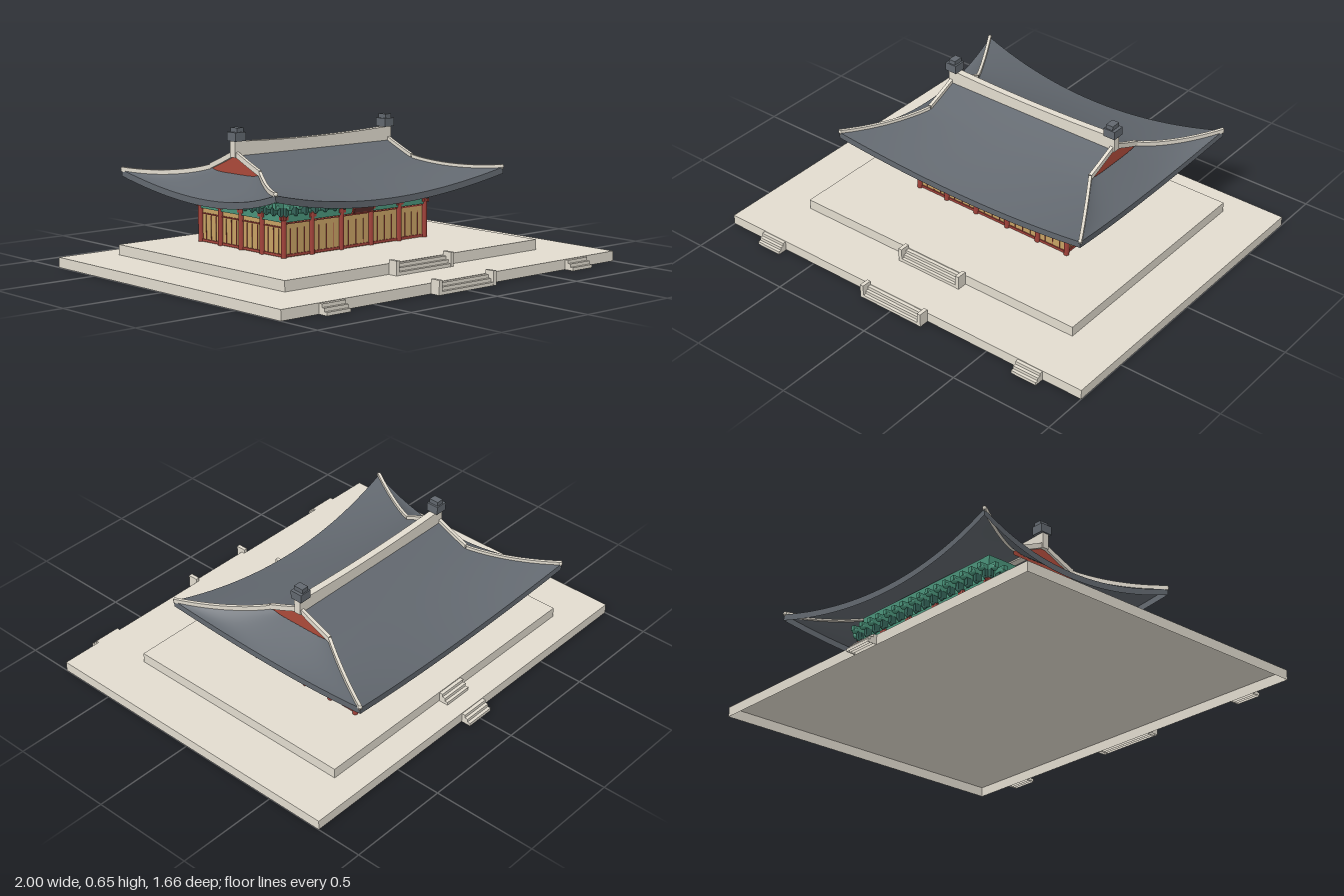
import * as THREE from 'three';

const mat = (name, color, side = THREE.FrontSide) => {
  const m = new THREE.MeshStandardMaterial({ color, side });
  m.name = name;
  return m;
};

export function createModel() {
  const stone = mat('stone', 0xe2dccf, THREE.DoubleSide);
  const tile = mat('roofTile', 0x62686f, THREE.DoubleSide);
  const red = mat('redTimber', 0xa2423a);
  const gableRed = mat('gableRed', 0xac4a3a, THREE.DoubleSide);
  const tan = mat('wallPanel', 0xc8a264);
  const green = mat('greenTimber', 0x4a937a);
  const darkGreen = mat('darkGreenTimber', 0x35655a);
  const plaque = mat('plaquePanel', 0x5e3230);

  const model = new THREE.Group();
  model.name = 'palaceHall';
  const group = (name, parent) => {
    const g = new THREE.Group();
    g.name = name;
    parent.add(g);
    return g;
  };
  const add = (parent, name, geo, m) => {
    const mesh = new THREE.Mesh(geo, m);
    mesh.name = name;
    parent.add(mesh);
    return mesh;
  };
  // box from minimum and maximum corners
  const box = (parent, name, m, x0, x1, y0, y1, z0, z1) => {
    const mesh = add(parent, name, new THREE.BoxGeometry(x1 - x0, y1 - y0, z1 - z0), m);
    mesh.position.set((x0 + x1) / 2, (y0 + y1) / 2, (z0 + z1) / 2);
    return mesh;
  };
  // hollow stone box without its bottom face
  const shell = (parent, name, ...size) => {
    const geo = box(parent, name, stone, ...size).geometry;
    geo.setIndex([...geo.index.array].filter((_, i) => i < 18 || i >= 24));
    geo.clearGroups();
  };
  // smooth surface from a function of two parameters in 0..1
  const grid = (fn, nu, nv) => {
    const pos = [], idx = [];
    for (let i = 0; i <= nu; i++) for (let j = 0; j <= nv; j++) pos.push(...fn(i / nu, j / nv));
    for (let i = 0; i < nu; i++) for (let j = 0; j < nv; j++) {
      const a = i * (nv + 1) + j, c = a + nv + 1;
      idx.push(a, a + 1, c, a + 1, c + 1, c);
    }
    const g = new THREE.BufferGeometry();
    g.setAttribute('position', new THREE.Float32BufferAttribute(pos, 3));
    g.setIndex(idx);
    g.computeVertexNormals();
    return g;
  };

  // Terraces
  const terrace = group('terrace', model);
  shell(terrace, 'lowerTerrace', -1, 1, 0, 0.047, -0.78, 0.78);
  shell(terrace, 'upperTerrace', -0.76, 0.76, 0.047, 0.095, -0.65, 0.52);

  // Stairs: dir is +1 for the front, -1 for the back
  const stairs = (cx, half, y, z, dir, cheeks) => {
    const g = group('stairs', terrace);
    g.position.set(cx, y, z);
    if (dir < 0) g.rotation.y = Math.PI;
    for (let i = 0; i < 3; i++)
      shell(g, 'step', -half, half, 0, (i + 1) * 0.015, 0.001, 0.048 - i * 0.015);
    if (cheeks) for (const s of [-1, 1]) {
      const x = s * (half + 0.009);
      shell(g, 'cheekWall', x - 0.009, x + 0.009, 0, 0.065, 0, 0.049);
    }
  };
  stairs(0, 0.155, 0, 0.78, 1, true);
  stairs(0, 0.155, 0.047, 0.52, 1, true);
  stairs(0.735, 0.065, 0, 0.78, 1, false);
  stairs(-0.735, 0.065, 0, 0.78, 1, false);
  stairs(0, 0.072, 0, -0.78, -1, false);
  stairs(0, 0.072, 0.047, -0.65, -1, false);

  // Hall body
  const hall = group('hall', model);
  hall.position.z = -0.175;
  const HX = 0.428, HZ = 0.295;
  box(hall, 'wallCore', tan, -HX + 0.004, HX - 0.004, 0.095, 0.255, -HZ + 0.004, HZ - 0.004);
  box(hall, 'lintelBand', green, -HX - 0.006, HX + 0.006, 0.252, 0.285, -HZ - 0.006, HZ + 0.006);
  box(hall, 'bracketWall', green, -HX, HX, 0.285, 0.4, -HZ + 0.005, HZ - 0.005);

  // One facade, facing +z of its own group
  const facade = (half, depth, angle, cols, nBrackets, railY) => {
    const f = group('facade', hall);
    f.rotation.y = angle;
    const face = depth - 0.004;
    for (const [y, h] of [[0.097, 0.012], [railY, 0.006]])
      box(f, 'rail', red, -half, half, y, y + h, face - 0.002, face + 0.005);
    cols.forEach((x, i) => {
      if (i < cols.length - 1) {
        const col = add(f, 'column', new THREE.CylinderGeometry(0.0125, 0.0125, 0.19, 14), red);
        col.position.set(x, 0.19, depth);
        const w = cols[i + 1] - x;
        for (const k of [0.25, 0.5, 0.75])
          box(f, 'doorMullion', red, x + w * k - 0.0012, x + w * k + 0.0012, 0.1, 0.222, face - 0.002, face + 0.003);
      }
      box(f, 'columnHead', red, x - 0.02, x + 0.02, 0.262, 0.28, depth, depth + 0.009);
    });
    for (let i = 0; i < nBrackets; i++) {
      const b = group('bracket', f);
      b.position.set(-half + (2 * half * i) / (nBrackets - 1), 0, depth);
      box(b, 'bracketBlock', darkGreen, -0.009, 0.009, 0.287, 0.325, -0.01, 0.026);
      box(b, 'bracketArm', green, -0.01, 0.01, 0.32, 0.343, -0.01, 0.055);
      const foot = add(b, 'bracketFoot', new THREE.SphereGeometry(0.01, 12, 8), darkGreen);
      foot.position.set(0, 0.287, 0.016);
      const knob = add(b, 'bracketKnob', new THREE.SphereGeometry(0.014, 14, 10), green);
      knob.position.set(0, 0.322, 0.041);
    }
  };
  const frontCols = [-0.428, -0.265, -0.09, 0.09, 0.265, 0.428];
  const sideCols = [-0.295, -0.148, 0, 0.148, 0.295];
  for (const a of [0, Math.PI]) {
    facade(HX, HZ, a, frontCols, 16, 0.243);
    facade(HZ, HX, a + Math.PI / 2, sideCols, 13, 0.225);
  }

  // Name plaque, leaning forward, without lettering
  const sign = group('plaque', hall);
  sign.position.set(0, 0.28, 0.342);
  sign.rotation.x = 0.26;
  box(sign, 'plaqueFrame', red, -0.063, 0.063, -0.023, 0.023, -0.004, 0.004);
  box(sign, 'plaqueFace', plaque, -0.056, 0.056, -0.017, 0.017, 0.003, 0.006);

  // Roof: hip-and-gable with curved eaves
  const GX = 0.46, GZ = 0.175, T0 = GZ / 0.55, EAVE = 0.03;
  const midY = t => 0.53 - 0.19 * (1.35 * t - 0.35 * t * t);
  const flare = t => Math.max(0, (t - T0) / (1 - T0));
  const edgeY = t => midY(t) + 0.085 * flare(t) ** 1.5;
  const edgeX = t => GX + 0.225 * flare(t);
  const frontPoint = (a, t, drop = 0) => {
    const u = a * 2 - 1, q = u * u;
    return [u * edgeX(t), midY(t) + q * (edgeY(t) - midY(t)) - drop, t * (0.5 + 0.05 * q)];
  };
  const sidePoint = (s, b, drop = 0) => {
    const v = b * 2 - 1, q = v * v, t = T0 + s * (1 - T0);
    const mid = 0.44 - 0.1 * (1.2 * s - 0.2 * s * s);
    return [GX + s * (0.17 + 0.055 * q), mid + q ** (3 - 2 * s) * (edgeY(t) - mid) - drop, v * (GZ + 0.375 * s)];
  };
  // square-section ridge swept along points
  const ridgeStrip = (parent, name, pts, half, below, above) => {
    const P = pts.map(p => new THREE.Vector3(...p));
    const ring = (i, j) => {
      const d = P[Math.min(i + 1, P.length - 1)].clone().sub(P[Math.max(i - 1, 0)]);
      const side = new THREE.Vector3(d.z, 0, -d.x).normalize().multiplyScalar(half);
      const s = [1, 1, -1, -1, 1][j], h = [-below, above, above, -below, -below][j];
      return [P[i].x + s * side.x, P[i].y + h, P[i].z + s * side.z];
    };
    const n = P.length - 1;
    const geo = grid((a, b) => ring(Math.round(a * n), Math.round(b * 4)), n, 4).toNonIndexed();
    geo.computeVertexNormals();
    add(parent, name, geo, stone);
  };

  const roof = group('roof', hall);
  for (const a of [0, Math.PI]) {
    const h = group('roofHalf', roof);
    h.rotation.y = a;
    add(h, 'mainSlope', grid((u, t) => frontPoint(u, t), 28, 22), tile);
    add(h, 'mainEave', grid((u, k) => frontPoint(u, 1, k * EAVE), 28, 1), tile);
    add(h, 'endSlope', grid((s, v) => sidePoint(s, v), 12, 24), tile);
    add(h, 'endEave', grid((v, k) => sidePoint(1, 1 - v, k * EAVE), 24, 1), tile);
    // gable wall between the roof edge and the end slope
    add(h, 'gableWall', grid((b, k) => {
      const z = (1 - 2 * b) * GZ;
      const top = edgeY(Math.abs(z) / 0.55);
      return [GX - 0.004, top + k * (0.43 - top), z];
    }, 16, 1), gableRed);
    // gable edge and hip ridges
    for (const s of [-1, 1]) {
      const gable = [], hip = [];
      for (let i = 0; i <= 6; i++) {
        const t = (T0 * i) / 6;
        gable.push([GX, edgeY(t), s * t * 0.55]);
      }
      for (let i = 0; i <= 12; i++) {
        const t = T0 + ((1 - T0) * i) / 12;
        hip.push([edgeX(t), edgeY(t), s * t * 0.55]);
      }
      ridgeStrip(h, 'gableRidge', gable, 0.008, 0.008, 0.017);
      ridgeStrip(h, 'hipRidge', hip, 0.007, 0.008, 0.013);
      const tip = add(h, 'hipTip', new THREE.SphereGeometry(0.009, 12, 8), stone);
      tip.position.set(0.682, edgeY(1) + 0.004, s * 0.547);
    }
    // ridge-end finial
    box(h, 'finialBase', tile, 0.422, 0.482, 0.588, 0.628, -0.03, 0.03);
    box(h, 'finialCap', tile, 0.431, 0.467, 0.628, 0.648, -0.024, 0.024);
  }
  // Main ridge, rising slightly to its ends
  const ridge = new THREE.BoxGeometry(0.95, 0.075, 0.034, 20, 1, 1);
  const p = ridge.attributes.position;
  for (let i = 0; i < p.count; i++)
    p.setY(i, p.getY(i) > 0 ? 0.576 + 0.013 * (p.getX(i) / 0.475) ** 2 : 0.515);
  ridge.computeVertexNormals();
  add(roof, 'mainRidge', ridge, stone);

  return model;
}
